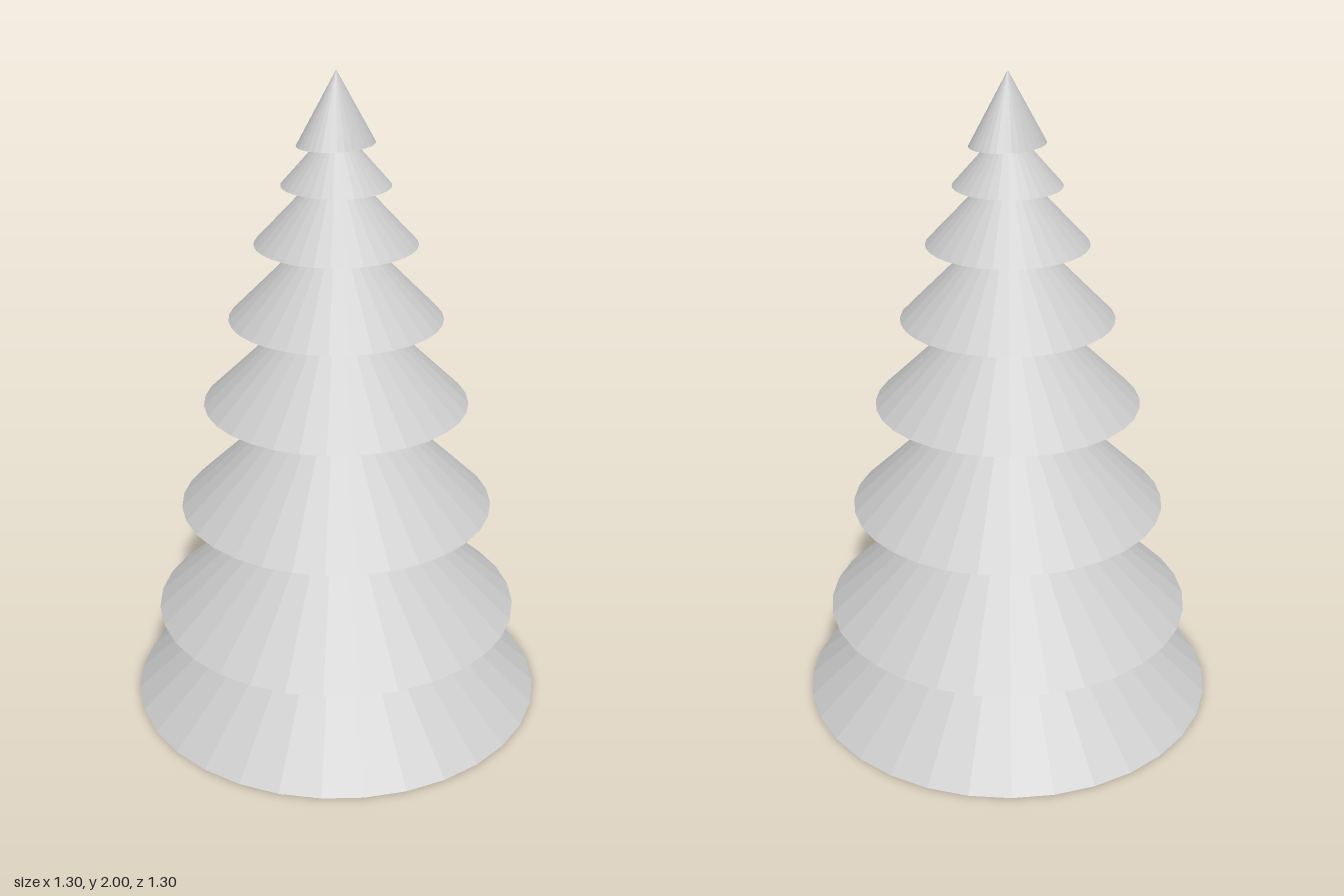
import * as THREE from 'three';

export function createModel() {
  const tree = new THREE.Group();
  tree.name = 'coniferTree';
  const material = new THREE.MeshStandardMaterial({ color: 0xcccccc, flatShading: true });

  // Branch tiers from the ground up: base height, tip height, radius in x, radius in z
  const tiers = [
    [0, 0.6, 0.65, 0.65],
    [0.3, 0.82, 0.57, 0.57],
    [0.655, 1.125, 0.485, 0.485],
    [0.995, 1.39, 0.405, 0.405],
    [1.265, 1.595, 0.323, 0.323],
    [1.495, 1.755, 0.243, 0.243],
    [1.67, 1.855, 0.162, 0.162],
    [1.79, 2, 0.125, 0.1], // slightly oval crown
  ];

  tiers.forEach(([base, tip, rx, rz], i) => {
    const cone = new THREE.ConeGeometry(1, tip - base, 32);
    cone.scale(rx, 1, rz);
    cone.translate(0, (base + tip) / 2, 0);
    const mesh = new THREE.Mesh(cone, material);
    mesh.name = i === tiers.length - 1 ? 'crown' : `branchTier${i + 1}`;
    tree.add(mesh);
  });

  return tree;
}
